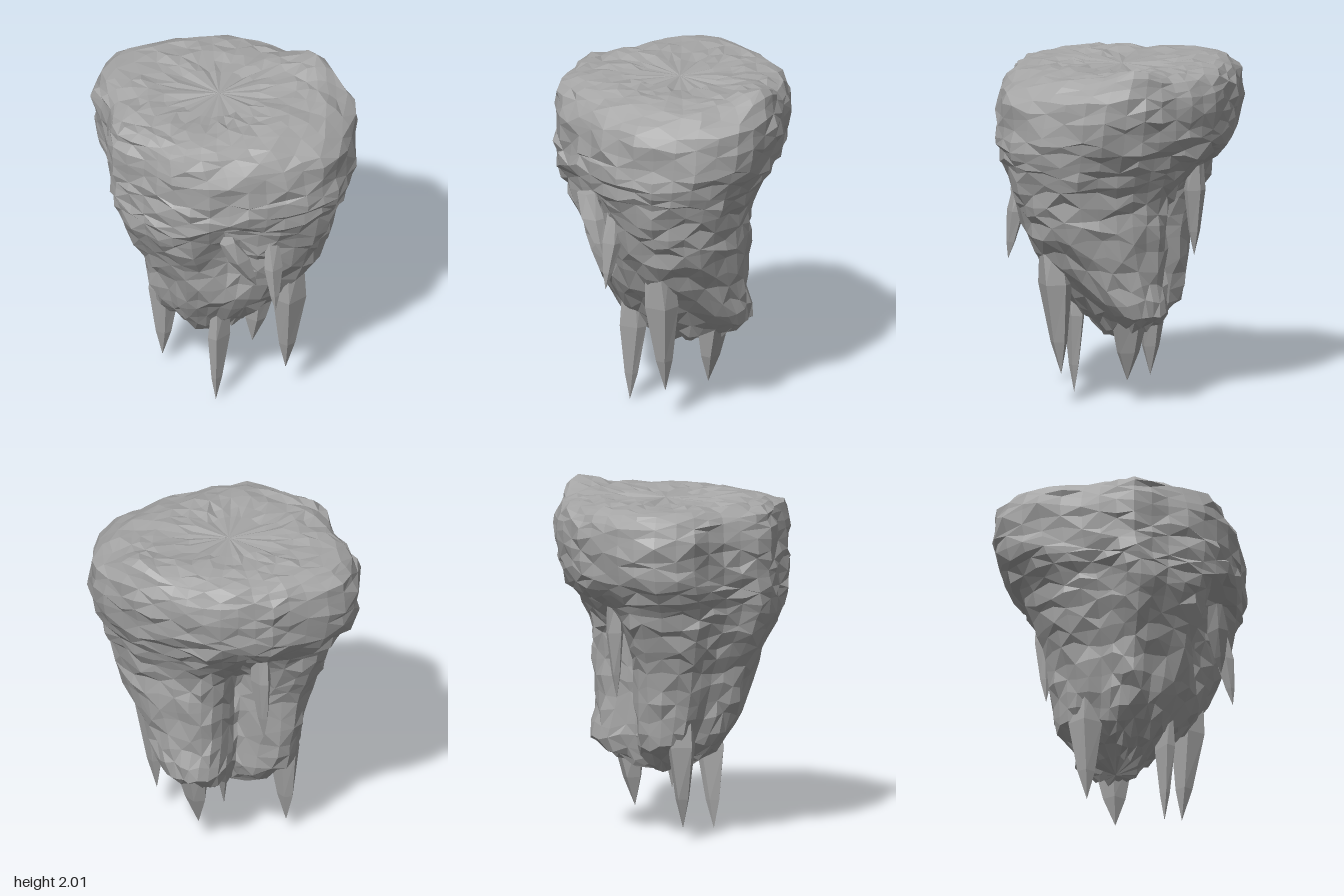
import * as THREE from 'three';

// Plan outline: radii every 22.5 degrees from +x towards +z (front)
const OUTLINE = [.65, .72, .79, .80, .78, .71, .70, .72, .67, .70, .64, .76, .78, .68, .65, .64];
// Reach of each level: height, then towards +x, -x, +z, -z
const LEVELS = [
  [0.39, .20, .13, .12, .17],
  [0.53, .44, .32, .26, .38],
  [0.75, .43, .44, .46, .43],
  [1.00, .44, .51, .63, .47],
  [1.20, .46, .60, .69, .56],
  [1.37, .52, .67, .75, .61],
  [1.49, .59, .67, .78, .73],
  [1.64, .64, .67, .79, .77],
  [1.82, .65, .67, .76, .78],
  [1.92, .60, .63, .60, .70],
  [1.95, .46, .48, .45, .54],
  [1.94, .22, .24, .22, .27],
];
const COLS = 40, ROWS = 30;
const { smoothstep, lerp } = THREE.MathUtils;

// Repeatable value in -0.5..0.5
const noise = (i, j, k) => {
  const s = Math.sin(i * 127.1 + j * 311.7 + k * 74.7) * 43758.5453;
  return s - Math.floor(s) - 0.5;
};

// How far the wall is pushed in: a deep hollow at back right, a recess under the front left lip
function hollow(angle, y) {
  const bell = (centre, width) => {
    const d = Math.atan2(Math.sin(angle - centre), Math.cos(angle - centre)) / width;
    return Math.exp(-d * d);
  };
  const deep = 0.58 * bell(-Math.PI / 4, 0.42) * (1 - smoothstep(y, 1.05, 1.5));
  const lip = 0.22 * bell(Math.PI * 0.75, 0.3) * smoothstep(y, 0.7, 1.1) * (1 - smoothstep(y, 1.38, 1.47));
  return 1 - deep - lip;
}

function makeGeometry(pos, index) {
  const g = new THREE.BufferGeometry();
  g.setAttribute('position', new THREE.Float32BufferAttribute(pos, 3));
  g.setIndex(index);
  g.computeVertexNormals();
  return g;
}

// Smooth skin through the levels, roughened into facets and closed at both ends
function rockGeometry() {
  const plan = new THREE.CatmullRomCurve3(OUTLINE.map((r, k) => {
    const a = k * Math.PI / 8;
    return new THREE.Vector3(r * Math.cos(a), 0, r * Math.sin(a));
  }), true).getPoints(COLS);
  const pos = [], index = [];
  const columns = plan.slice(0, COLS).map(({ x, z }) => new THREE.CatmullRomCurve3(
    LEVELS.map(([y, right, left, front, back]) => new THREE.Vector3(
      x * (x > 0 ? right / 0.66 : left / 0.67), y, z * (z > 0 ? front : back) / 0.78))
  ).getPoints(ROWS));
  for (let i = 0; i <= ROWS; i++) {
    for (let j = 0; j < COLS; j++) {
      const p = columns[j][i];
      const top = smoothstep(p.y, 1.7, 1.92);
      // raised corner on the +x rim
      const peak = 0.07 * top * Math.exp(-((p.x - 0.58) ** 2 + (p.z - 0.25) ** 2) / 0.025);
      const rough = 0.035 * noise(i, j, 1) / Math.max(0.3, Math.hypot(p.x, p.z));
      const s = hollow(Math.atan2(p.z, p.x), p.y) + rough;
      pos.push(p.x * s, p.y + (0.05 - 0.025 * top) * noise(i, j, 2) + peak, p.z * s);
    }
  }
  const low = pos.length / 3, high = low + 1;
  pos.push(0.03, 0.36, 0, 0, 1.94, 0);
  for (let j = 0; j < COLS; j++) {
    const k = (j + 1) % COLS, last = ROWS * COLS;
    for (let i = 0; i < ROWS; i++) {
      const a = i * COLS + j, b = i * COLS + k, c = a + COLS, d = b + COLS;
      if ((i + j) % 2) index.push(a, c, b, b, c, d);
      else index.push(a, c, d, a, d, b);
    }
    index.push(low, j, k, high, last + k, last + j);
  }
  return makeGeometry(pos, index);
}

// Faceted five-sided shard running from a buried base down to a sharp tip
function shardGeometry(base, tip, rx, rz) {
  const sides = 5, widths = [0.75, 1, 0.5], pos = [], index = [];
  widths.forEach((w, i) => {
    const t = i * 0.39;
    for (let j = 0; j < sides; j++) {
      const a = (j + 0.4 * noise(i, j, 5)) / sides * Math.PI * 2;
      pos.push(
        lerp(base[0], tip[0], t) + rx * w * Math.cos(a),
        lerp(base[1], tip[1], t),
        lerp(base[2], tip[2], t) + rz * w * Math.sin(a));
    }
  });
  const n = widths.length * sides;
  pos.push(...base, ...tip);
  for (let j = 0; j < sides; j++) {
    const k = (j + 1) % sides;
    for (let i = 0; i < widths.length - 1; i++) {
      const a = i * sides + j, b = i * sides + k;
      index.push(a, b, b + sides, a, b + sides, a + sides);
    }
    index.push(n, k, j, n + 1, n - sides + j, n - sides + k);
  }
  return makeGeometry(pos, index);
}

export function createModel() {
  const stone = new THREE.MeshStandardMaterial({ color: 0xa6a6a6 });
  stone.name = 'greyStone';
  stone.flatShading = true;
  const model = new THREE.Group();
  model.name = 'hangingRock';
  const add = (name, geometry) => {
    const mesh = new THREE.Mesh(geometry, stone);
    mesh.name = name;
    model.add(mesh);
  };

  add('rockBody', rockGeometry());

  // base, tip, x radius, z radius
  add('frontShard', shardGeometry([0.05, 1.05, 0.50], [0.07, 0.18, 0.44], 0.10, 0.10));
  add('longShard', shardGeometry([-0.21, 0.75, 0.20], [-0.24, 0, 0.18], 0.085, 0.05));
  add('backShard', shardGeometry([-0.16, 0.85, -0.28], [-0.17, 0.07, -0.28], 0.08, 0.11));
  add('sideShard', shardGeometry([0.27, 0.90, 0.10], [0.20, 0.13, 0.08], 0.11, 0.14));
  add('upperFrontShard', shardGeometry([-0.19, 1.28, 0.56], [-0.23, 0.82, 0.62], 0.06, 0.05));
  add('hollowShard', shardGeometry([0.22, 1.45, -0.35], [0.20, 0.82, -0.36], 0.05, 0.07));
  add('lipShard', shardGeometry([-0.42, 1.32, 0.42], [-0.28, 0.98, 0.52], 0.07, 0.06));
  return model;
}
